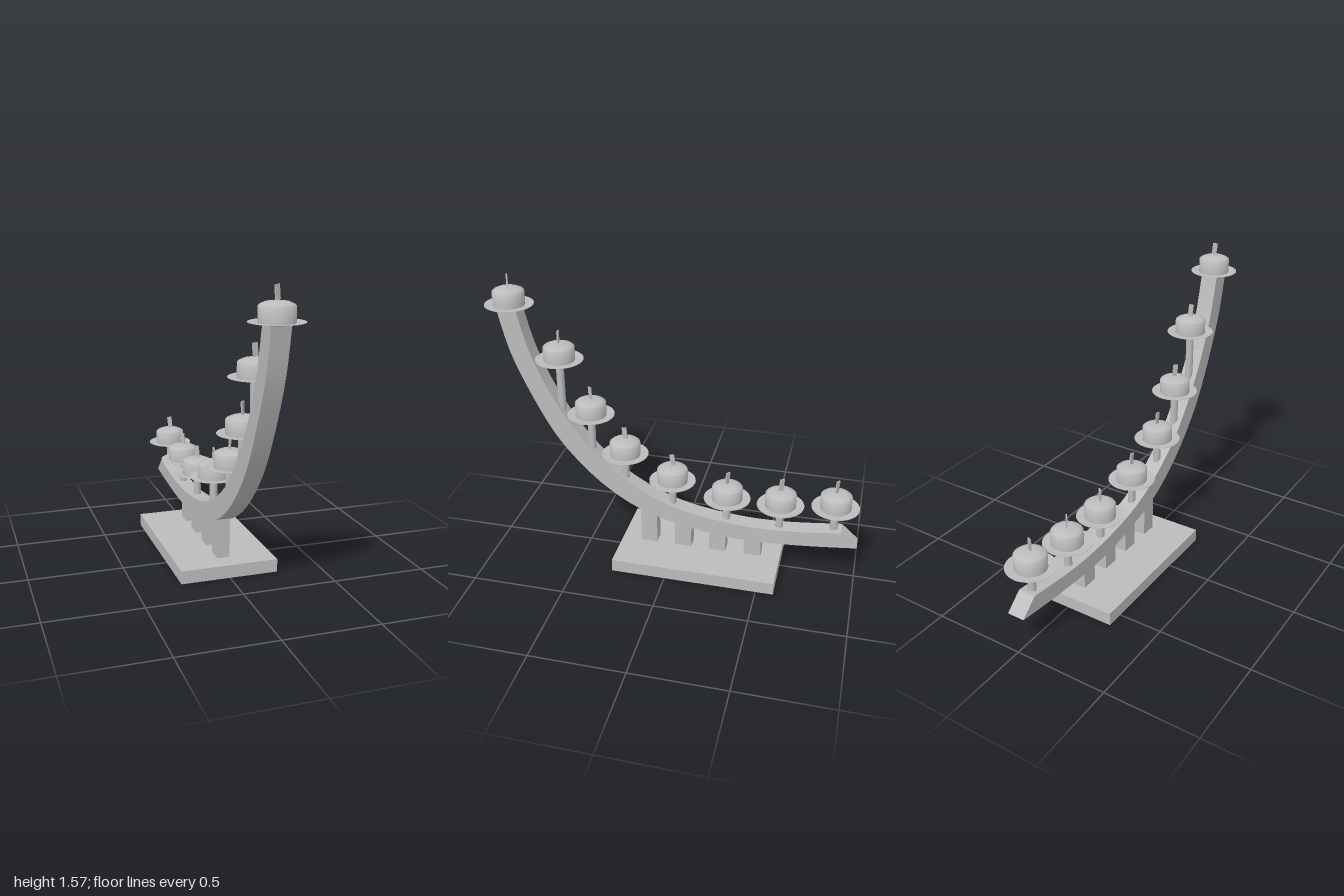
import * as THREE from 'three';
import { toCreasedNormals } from 'three/addons/utils/BufferGeometryUtils.js';

const grey = new THREE.MeshStandardMaterial({ color: 0xbcbcbc, side: THREE.DoubleSide });
grey.name = 'grey metal';

function add(parent, name, geometry, x = 0, y = 0, z = 0) {
  const mesh = new THREE.Mesh(geometry, grey);
  mesh.name = name;
  mesh.position.set(x, y, z);
  parent.add(mesh);
  return mesh;
}

// box without the faces in the skip list (0 +x, 1 -x, 2 +y, 3 -y, 4 +z, 5 -z)
function openBox(w, h, d, skip) {
  const g = new THREE.BoxGeometry(w, h, d);
  const all = Array.from(g.index.array);
  g.setIndex(all.filter((_, i) => !skip.includes(Math.floor(i / 6))));
  g.clearGroups();
  return g;
}

const smoothPoints = (pts, n) =>
  new THREE.SplineCurve(pts.map(([z, y]) => new THREE.Vector2(z, y))).getPoints(n);

const lathe = (pts, angle = 0.5) =>
  toCreasedNormals(new THREE.LatheGeometry(pts.map(([r, y]) => new THREE.Vector2(r, y)), 32), angle);

// sweeping bow: side outline in (z, y), extruded across x
function bowGeometry() {
  const outer = smoothPoints([[0.935, 1.4], [0.866, 1.128], [0.716, 0.8], [0.583, 0.6], [0.4, 0.417],
    [0.2, 0.29], [-0.016, 0.22], [-0.23, 0.183], [-0.444, 0.172], [-0.71, 0.186], [-1, 0.217]], 48);
  const inner = smoothPoints([[-0.91, 0.298], [-0.578, 0.263], [-0.283, 0.271], [0.016, 0.33],
    [0.278, 0.465], [0.465, 0.636], [0.636, 0.877], [0.76, 1.14], [0.83, 1.4]], 48);
  const g = new THREE.ExtrudeGeometry(new THREE.Shape([...outer, ...inner]),
    { depth: 0.094, bevelEnabled: false });
  g.translate(0, 0, -0.047);
  g.rotateY(-Math.PI / 2);
  return toCreasedNormals(g, 0.5);
}

export function createModel() {
  const model = new THREE.Group();
  model.name = 'candelabrum';

  // hollow plinth, open underneath
  add(model, 'base', openBox(0.524, 0.07, 0.89, [3]), 0, 0.035, -0.15);

  // tubular posts that poke through the plinth top
  [[0.142, 0.29], [-0.053, 0.25], [-0.246, 0.21], [-0.442, 0.2]].forEach(([z, top]) => {
    const bottom = 0.05;
    add(model, 'supportPost', openBox(0.068, top - bottom, 0.092, [2, 3]), 0, (top + bottom) / 2, z);
  });

  add(model, 'bow', bowGeometry());

  // shared candle parts, measured from the rim of the dish
  const dish = lathe([[0, -0.016], [0.06, -0.013], [0.127, -0.002], [0.127, 0], [0.08, -0.004], [0, -0.004]]);
  const candle = lathe([[0.083, -0.004], [0.083, 0.068], [0.075, 0.075], [0.052, 0.085], [0.03, 0.088], [0, 0.089]], 0.9);
  const wick = new THREE.BoxGeometry(0.026, 0.064, 0.008);

  // z, dish height, stem foot, wick turn
  [
    [0.88, 1.41, 1.36, 0.4], [0.625, 1.126, 0.8, 0.1], [0.465, 0.821, 0.6, 0.8], [0.28, 0.602, 0.42, 1.5],
    [0.016, 0.469, 0.28, 1.5], [-0.288, 0.4, 0.23, -0.6], [-0.578, 0.4, 0.23, -0.9], [-0.868, 0.43, 0.24, -0.5],
  ].forEach(([z, y, foot, turn]) => {
    const holder = new THREE.Group();
    holder.name = 'candleHolder';
    holder.position.set(0, y, z);
    model.add(holder);
    const h = y - 0.008 - foot;
    add(holder, 'stem', new THREE.CylinderGeometry(0.021, 0.021, h, 16), 0, -0.008 - h / 2, 0);
    add(holder, 'dish', dish);
    add(holder, 'candle', candle);
    add(holder, 'wick', wick, 0, 0.124, 0).rotation.set(0, turn, 0.1);
  });

  return model;
}
